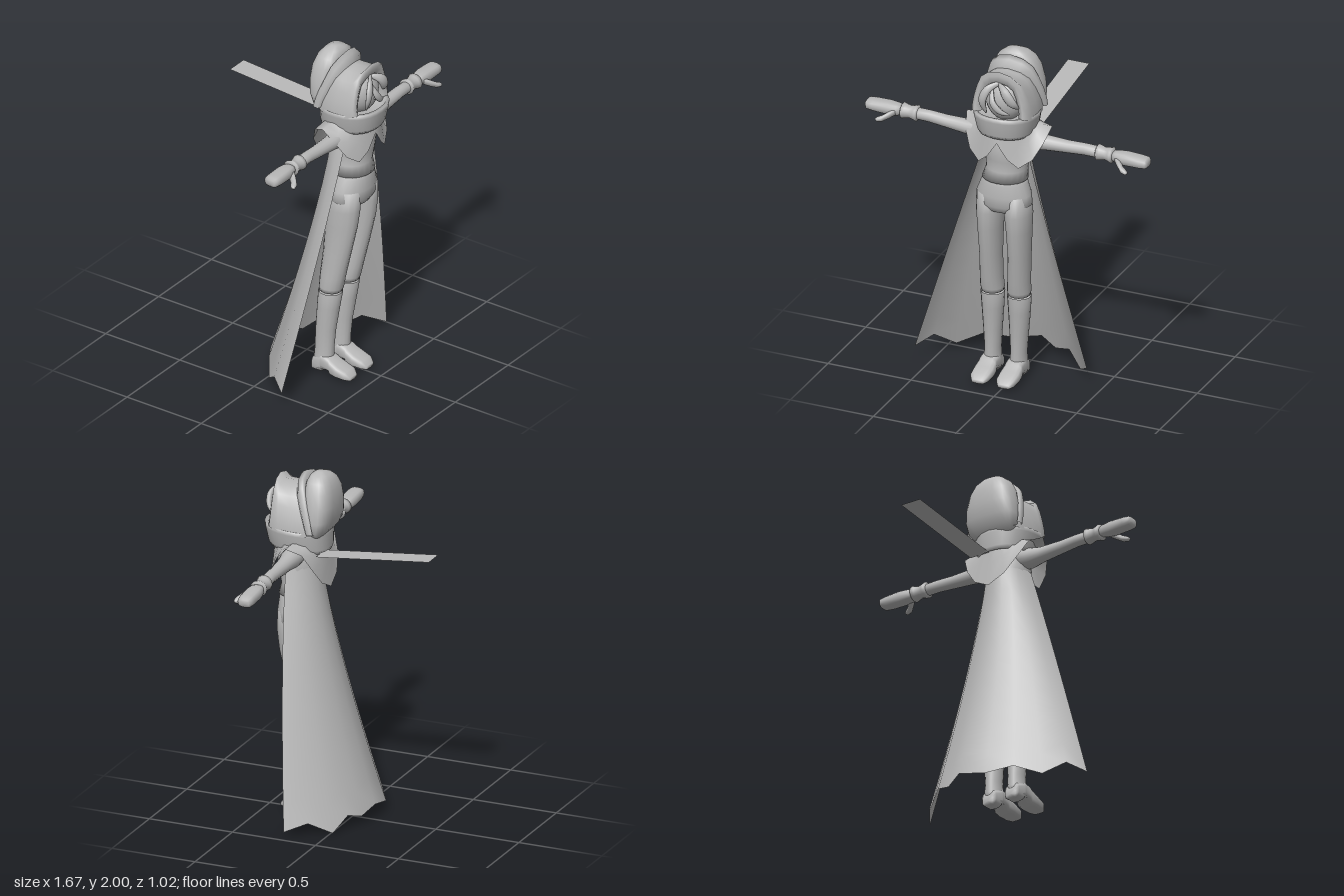
import * as THREE from 'three';

const grey = new THREE.MeshStandardMaterial({ color: 0xb8b8b8, side: THREE.DoubleSide });
grey.name = 'plain grey';
const V = (x, y, z) => new THREE.Vector3(x, y, z);

// Skin a list of point rows; wrap closes each row into a ring, caps closes both ends.
function skin(rows, wrap = true, caps = wrap) {
  if (caps) {
    const end = (row) => {
      const c = V(0, 0, 0);
      row.forEach((p) => c.addScaledVector(p, 1 / row.length));
      return row.map(() => c);
    };
    rows = [end(rows[0]), ...rows, end(rows[rows.length - 1])];
  }
  const n = rows[0].length, cols = wrap ? n : n - 1, index = [];
  for (let i = 0; i < rows.length - 1; i++) {
    for (let j = 0; j < cols; j++) {
      const a = i * n + j, b = i * n + ((j + 1) % n), c = a + n, d = b + n;
      index.push(a, b, c, b, d, c);
    }
  }
  const geo = new THREE.BufferGeometry().setFromPoints(rows.flat());
  geo.setIndex(index);
  geo.computeVertexNormals();
  return geo;
}

// Superellipse coordinates: power 1 is round, smaller is squarer.
function oval(n, power, fn) {
  return Array.from({ length: n }, (_, i) => {
    const a = (i / n) * Math.PI * 2, s = Math.sin(a), c = Math.cos(a);
    return fn(Math.sign(s) * Math.abs(s) ** power, Math.sign(c) * Math.abs(c) ** power);
  });
}
// Rings across y: [x, y, z, radiusX, radiusZ, tilt]
const upright = (list, n = 20, power = 1) => skin(list.map(([x, y, z, rx, rz, tilt = 0]) =>
  oval(n, power, (s, c) => V(x + s * rx, y + c * tilt, z + c * rz))));

export function createModel() {
  const model = new THREE.Group();
  const add = (name, geo, parent = model) => {
    const mesh = new THREE.Mesh(geo, grey);
    mesh.name = name;
    parent.add(mesh);
    return mesh;
  };

  // Torso and hips
  add('jacket', upright([
    [0, 1.62, 0.31, 0.08, 0.08], [0, 1.55, 0.32, 0.12, 0.1], [0, 1.48, 0.32, 0.13, 0.12],
    [0, 1.4, 0.315, 0.125, 0.115], [-0.005, 1.33, 0.31, 0.118, 0.11], [-0.012, 1.27, 0.32, 0.13, 0.118],
  ]));
  add('hips', upright([
    [-0.012, 1.3, 0.32, 0.112, 0.105], [-0.014, 1.25, 0.322, 0.132, 0.112], [-0.016, 1.18, 0.325, 0.158, 0.115],
    [-0.018, 1.12, 0.322, 0.163, 0.112], [-0.018, 1.08, 0.318, 0.12, 0.09], [-0.018, 1.06, 0.315, 0.05, 0.05],
  ]));

  // Legs and boots
  for (const side of [1, -1]) {
    const leg = new THREE.Group();
    leg.name = side > 0 ? 'leftLeg' : 'rightLeg';
    model.add(leg);
    const cx = (centre, half) => centre + side * half;
    add('trouser', upright([
      [cx(-0.018, 0.078), 1.18, 0.322, 0.075, 0.1], [cx(-0.018, 0.084), 1.06, 0.316, 0.076, 0.105],
      [cx(-0.02, 0.086), 0.95, 0.308, 0.068, 0.1], [cx(-0.027, 0.086), 0.78, 0.287, 0.062, 0.085],
      [cx(-0.038, 0.083), 0.62, 0.262, 0.063, 0.076], [cx(-0.04, 0.08), 0.55, 0.252, 0.067, 0.071],
      [cx(-0.041, 0.08), 0.525, 0.248, 0.062, 0.066],
    ], 16), leg);
    add('bootShaft', upright([
      [cx(-0.041, 0.08), 0.5, 0.246, 0.056, 0.06], [cx(-0.041, 0.08), 0.52, 0.247, 0.068, 0.07],
      [cx(-0.045, 0.08), 0.42, 0.236, 0.062, 0.066], [cx(-0.052, 0.079), 0.28, 0.222, 0.053, 0.06],
      [cx(-0.056, 0.078), 0.16, 0.215, 0.045, 0.058], [cx(-0.058, 0.078), 0.09, 0.213, 0.05, 0.06],
      [cx(-0.06, 0.078), 0.04, 0.212, 0.052, 0.058],
    ], 16), leg);
    // Foot rings run forward: [z, halfWidth, topHeight, floor]
    add('foot', skin([
      [0.15, 0.035, 0.06, 0.012], [0.165, 0.05, 0.1, 0.012], [0.218, 0.052, 0.13, 0.012],
      [0.225, 0.052, 0.13, 0.032], [0.275, 0.054, 0.115, 0.032], [0.285, 0.056, 0.105, 0.012],
      [0.33, 0.061, 0.082, 0.012], [0.385, 0.056, 0.063, 0.012], [0.412, 0.036, 0.035, 0.012],
    ].map(([z, w, top, floor]) => oval(14, 0.65, (s, c) =>
      V(cx(-0.06, 0.078) + s * w, (top + floor) / 2 + c * (top - floor) / 2, z)))), leg);
  }

  // Outstretched arms, tilted slightly across the body
  for (const side of [1, -1]) {
    const arm = new THREE.Group();
    arm.name = side > 0 ? 'leftArm' : 'rightArm';
    model.add(arm);
    // Rings across x: [x, radiusY, radiusZ, dy, dz]
    const limb = (list, n = 16, power = 1) => skin(list.map(([x, ry, rz, dy = 0, dz = 0]) =>
      oval(n, power, (s, c) => V(side * x, 1.53 - side * 0.045 * (x - 0.1) + dy + s * ry,
        0.312 - side * 0.04 * x + dz + c * rz))));
    add('sleeve', limb([[0.06, 0.06, 0.07], [0.15, 0.058, 0.06, -0.01], [0.23, 0.043, 0.045, -0.012],
      [0.36, 0.036, 0.037, -0.007], [0.46, 0.034, 0.034], [0.56, 0.033, 0.034]]), arm);
    add('cuff', limb([[0.525, 0.028, 0.028], [0.535, 0.046, 0.048], [0.552, 0.042, 0.042], [0.578, 0.035, 0.036],
      [0.602, 0.04, 0.042], [0.62, 0.046, 0.05], [0.63, 0.026, 0.028]]), arm);
    add('hand', limb([[0.62, 0.025, 0.03], [0.65, 0.032, 0.042], [0.7, 0.036, 0.048], [0.79, 0.033, 0.047],
      [0.825, 0.029, 0.043], [0.835, 0.018, 0.03]], 14, 0.75), arm);
    add('thumb', limb([[0.65, 0.018, 0.02, -0.005, 0.025], [0.68, 0.021, 0.025, -0.02, 0.05],
      [0.71, 0.018, 0.022, -0.036, 0.078], [0.735, 0.014, 0.016, -0.042, 0.088],
      [0.745, 0.006, 0.008, -0.042, 0.09]], 10), arm);
  }

  // Scarf bowl below the face
  add('scarf', upright([
    [0, 1.6, 0.31, 0.1, 0.1], [0, 1.552, 0.31, 0.15, 0.168, 0.012], [0, 1.575, 0.312, 0.163, 0.178, 0.012],
    [0, 1.66, 0.32, 0.18, 0.187, 0.012], [0, 1.683, 0.32, 0.182, 0.188, 0.012],
    [0, 1.685, 0.32, 0.165, 0.17, 0.012], [0, 1.655, 0.32, 0.14, 0.14],
  ], 28, 0.88));

  // Hood: an arch swept front to back, with its rim turned into the face opening
  const half = [[1, 0], [0.99, 0.16], [0.93, 0.36], [0.83, 0.58], [0.68, 0.8], [0.4, 0.94]];
  const profile = [...half.map(([x, y]) => [-x, y]), [0, 1], ...half.map(([x, y]) => [x, y]).reverse()];
  const arch = (w, bottom, top, z, lean = 0) => profile.map(([x, y]) =>
    V(x * w, bottom + y * (top - bottom), z + lean * y - 0.035 * x * x));
  add('hoodFront', skin([
    arch(0.14, 1.67, 1.89, 0.2), arch(0.165, 1.66, 1.925, 0.25), arch(0.178, 1.66, 1.922, 0.34),
    arch(0.176, 1.67, 1.925, 0.41), arch(0.165, 1.69, 1.955, 0.465, -0.03), arch(0.145, 1.69, 1.93, 0.478, -0.035),
    arch(0.118, 1.69, 1.89, 0.465, -0.03), arch(0.105, 1.69, 1.87, 0.41),
  ], false));
  add('hoodBand', skin([
    arch(0.172, 1.68, 1.95, 0.2, 0.06), arch(0.18, 1.68, 1.992, 0.212, 0.065),
    arch(0.182, 1.68, 1.975, 0.235, 0.07), arch(0.165, 1.68, 1.92, 0.245, 0.07),
  ], false));
  add('hoodBack', upright([
    [0, 1.64, 0.19, 0.12, 0.04], [0, 1.68, 0.18, 0.155, 0.06], [0, 1.74, 0.172, 0.163, 0.077],
    [0, 1.82, 0.172, 0.155, 0.084], [0, 1.9, 0.178, 0.135, 0.083], [0, 1.955, 0.185, 0.105, 0.07],
    [0, 1.985, 0.19, 0.065, 0.05], [0, 2.0, 0.192, 0.02, 0.02],
  ], 24, 0.72));

  // Head, nose and swept locks of hair
  const head = add('head', new THREE.SphereGeometry(1, 24, 16));
  head.scale.set(0.115, 0.135, 0.11);
  head.position.set(0.005, 1.77, 0.345);
  const nose = add('nose', new THREE.ConeGeometry(0.014, 0.04, 8));
  nose.rotation.x = 1.25;
  nose.position.set(0.01, 1.745, 0.46);
  const locks = [
    [0.024, V(0.01, 1.89, 0.42), V(-0.055, 1.85, 0.465), V(-0.082, 1.78, 0.475), V(-0.07, 1.7, 0.45)],
    [0.03, V(0, 1.88, 0.43), V(0.05, 1.85, 0.465), V(0.09, 1.79, 0.46), V(0.115, 1.75, 0.43)],
    [0.02, V(-0.03, 1.85, 0.455), V(-0.02, 1.79, 0.48), V(0.02, 1.74, 0.48), V(0.075, 1.715, 0.46)],
  ];
  for (const [width, ...points] of locks) {
    const curve = new THREE.CatmullRomCurve3(points), rows = [];
    for (let i = 0; i <= 12; i++) {
      const t = i / 12, p = curve.getPoint(t), d = curve.getTangent(t);
      const across = V(-d.y, d.x, 0).normalize(), out = across.clone().cross(d).normalize();
      const r = width * Math.sin(Math.PI * (0.06 + t * 0.9)) ** 0.7;
      rows.push(oval(10, 1, (s, c) => p.clone().addScaledVector(across, s * r).addScaledVector(out, c * r * 0.6)));
    }
    add('hairLock', skin(rows));
  }

  // Shoulder mantle: notched in front, pointed at the shoulders, rounded behind
  const hem = [[0, 1.53, 0.465], [0.06, 1.44, 0.458], [0.12, 1.39, 0.44], [0.19, 1.44, 0.405], [0.235, 1.53, 0.36],
    [0.258, 1.61, 0.29], [0.22, 1.57, 0.21], [0.17, 1.47, 0.165], [0.1, 1.38, 0.14], [0, 1.33, 0.13]];
  const ring = [...hem.map((p) => V(...p)), ...hem.slice(1, -1).reverse().map(([x, y, z]) => V(-x, y, z))];
  const neck = ring.map((_, i) => {
    const a = (i / ring.length) * Math.PI * 2;
    return V(0.15 * Math.sin(a), 1.615, 0.31 + 0.14 * Math.cos(a));
  });
  add('mantle', skin([neck, neck.map((p, i) => p.clone().lerp(ring[i], 0.5)), ring], true, false));

  // Long cape flaring to a ragged hem
  const ragged = [[-0.59, 0.08, 0.25], [-0.52, 0.12, 0.15], [-0.43, 0.04, 0.05], [-0.3, 0.09, -0.04],
    [-0.17, 0.05, -0.125], [0, 0.09, -0.135], [0.1, 0.05, -0.1], [0.2, 0.08, -0.06],
    [0.29, 0, -0.01], [0.38, 0.07, 0.1], [0.46, 0.03, 0.21]];
  const capeRows = [];
  for (let i = 0; i <= 10; i++) {
    const t = i / 10;
    capeRows.push(ragged.map(([x, y, z], j) => {
      const a = (j / 10) * Math.PI;
      const top = V(-0.132 * Math.cos(a), 1.45, 0.345 - 0.155 * Math.sin(a));
      return V(THREE.MathUtils.lerp(top.x, x, t), THREE.MathUtils.lerp(top.y, y, t),
        THREE.MathUtils.lerp(top.z, z, t ** 1.35));
    }));
  }
  add('cape', skin(capeRows, false));

  // Flat scarf tail streaming behind
  add('scarfTail', skin([
    [V(0.015, 1.545, 0.16), V(0.142, 1.545, 0.16)], [V(-0.012, 1.61, -0.51), V(0.117, 1.61, -0.51)],
  ], false));

  return model;
}
